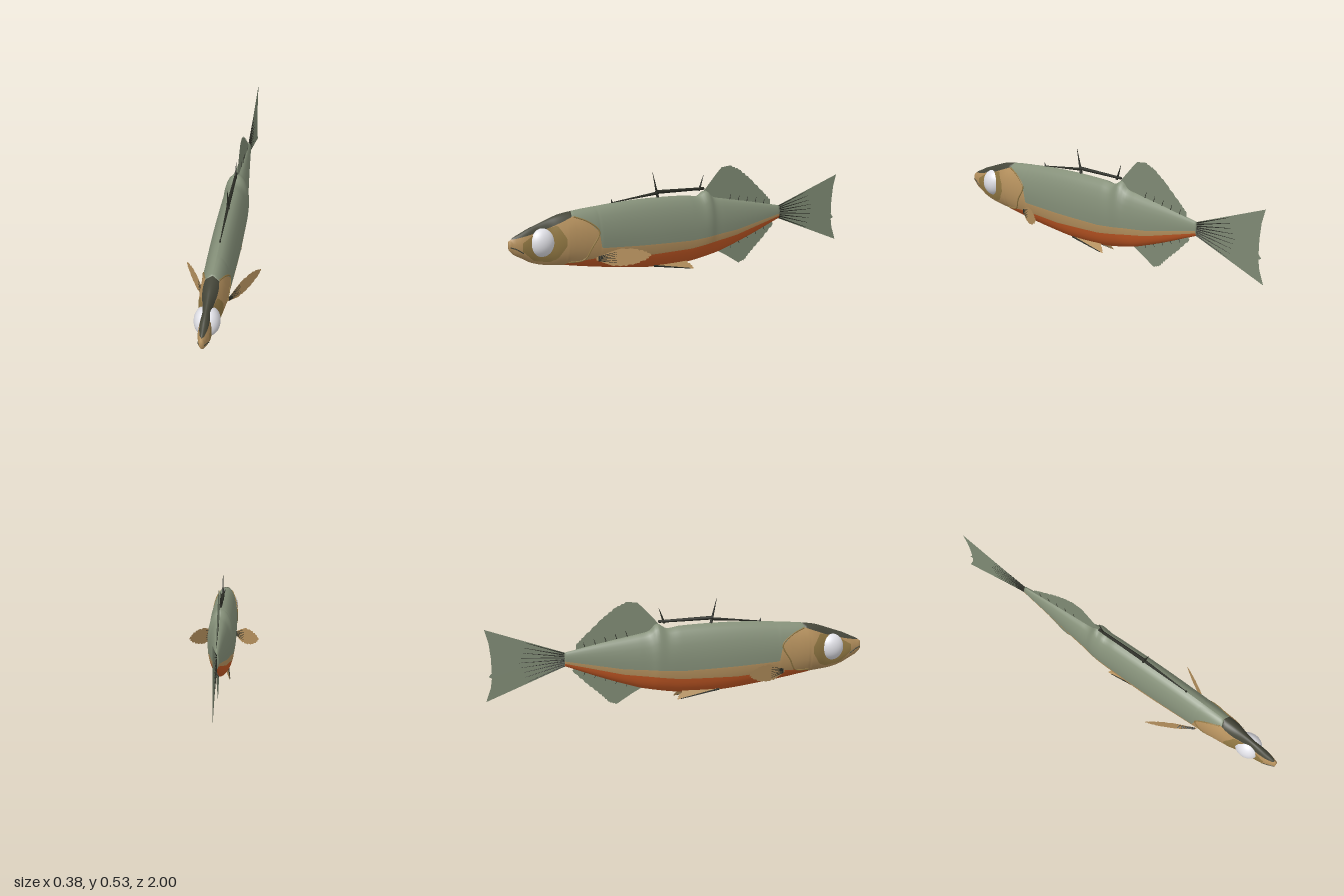
import * as THREE from 'three';

const mat = (name, color, side = THREE.FrontSide) => {
  const m = new THREE.MeshStandardMaterial({ color, side });
  m.name = name;
  return m;
};

// Body stations from nose to tail: z, top y, bottom y, half width
const STATIONS = [
  [1, 0.278, 0.232, 0.011], [0.98, 0.292, 0.21, 0.017], [0.94, 0.31, 0.188, 0.027], [0.9, 0.328, 0.165, 0.029],
  [0.85, 0.345, 0.147, 0.029], [0.8, 0.362, 0.137, 0.037], [0.75, 0.378, 0.131, 0.052], [0.7, 0.387, 0.124, 0.061],
  [0.6, 0.397, 0.106, 0.066], [0.4, 0.41, 0.075, 0.07], [0.2, 0.412, 0.053, 0.072], [0, 0.404, 0.054, 0.07],
  [-0.07, 0.395, 0.062, 0.069], [-0.12, 0.42, 0.07, 0.067], [-0.16, 0.385, 0.077, 0.057], [-0.22, 0.37, 0.09, 0.05],
  [-0.4, 0.335, 0.148, 0.031], [-0.6, 0.292, 0.222, 0.012]];
// Colour borders as z, y
const BELLY_LINE = [[0.73, 0], [0.71, 0.14], [0.55, 0.15], [0.3, 0.13], [0, 0.133], [-0.3, 0.168], [-0.6, 0.236]];
const BACK_LINE = [[0.67, 0.37], [0.6, 0.338], [0.545, 0.285], [0.53, 0.2], [0.3, 0.187], [0, 0.177], [-0.3, 0.197], [-0.6, 0.248]];
const CROWN_LINE = [[1, 0.3], [0.98, 0.286], [0.9, 0.3], [0.8, 0.325], [0.75, 0.343], [0.68, 0.368], [0.65, 0.45]];

// Linear lookup in a table whose first column falls
function lerpTable(t, z) {
  if (z >= t[0][0]) return t[0][1];
  for (let i = 1; i < t.length; i++) {
    if (z >= t[i][0]) return t[i][1] + (t[i - 1][1] - t[i][1]) * (z - t[i][0]) / (t[i - 1][0] - t[i][0]);
  }
  return t[t.length - 1][1];
}

// Smooth body section at z: centre, half height, half width
function section(z) {
  const S = STATIONS, last = S.length - 1;
  let i = 0;
  while (i < last - 1 && z < S[i + 1][0]) i++;
  const a = S[i], b = S[i + 1], p = S[Math.max(i - 1, 0)], q = S[Math.min(i + 2, last)];
  const d = b[0] - a[0], t = (z - a[0]) / d;
  const [top, bottom, w] = [1, 2, 3].map(k => {
    const m0 = (b[k] - p[k]) / (b[0] - p[0]) * d, m1 = (q[k] - a[k]) / (q[0] - a[0]) * d;
    return (2 * t ** 3 - 3 * t * t + 1) * a[k] + (t ** 3 - 2 * t * t + t) * m0 + (3 * t * t - 2 * t ** 3) * b[k] + (t ** 3 - t * t) * m1;
  });
  return { c: (top + bottom) / 2, h: (top - bottom) / 2, w };
}

// Point on the skin, lifted slightly outwards
function skin(z, y, side, lift = 0) {
  const { c, h, w } = section(z);
  const s = THREE.MathUtils.clamp((y - c) / h, -0.999, 0.999);
  return new THREE.Vector3(side * (w * Math.sqrt(1 - s * s) + lift), y, z);
}

// Lofted body, with material groups: belly, flank, back, crown
function bodyGeometry() {
  const rows = 150, per = 7, half = per * 4, ring = half * 2;
  const pos = [], bands = [[], [], [], []];
  for (let i = 0; i <= rows; i++) {
    const z = 1 - 1.6 * i / rows, { c, h, w } = section(z);
    const angle = y => Math.acos(THREE.MathUtils.clamp((c - y) / h, -1, 1));
    const crown = angle(lerpTable(CROWN_LINE, z));
    const back = Math.min(crown, z > 0.67 ? Math.PI : angle(lerpTable(BACK_LINE, z)));
    const marks = [0, Math.min(back, angle(lerpTable(BELLY_LINE, z))), back, crown, Math.PI];
    for (let j = 0; j < ring; j++) {
      const k = j <= half ? j : ring - j, b = Math.min(Math.floor(k / per), 3);
      const a = THREE.MathUtils.lerp(marks[b], marks[b + 1], k / per - b);
      pos.push((j <= half ? 1 : -1) * w * Math.sin(a), c - h * Math.cos(a), z);
    }
  }
  for (let i = 0; i < rows; i++) for (let j = 0; j < ring; j++) {
    const n = (j + 1) % ring, a = i * ring + j, b = i * ring + n;
    const k = j < half ? j : ring - 1 - j;
    bands[Math.floor(k / per)].push(a, a + ring, b, a + ring, b + ring, b);
  }
  // Nose and tail caps
  const nose = pos.length / 3, end = nose + 1;
  pos.push(0, 0.255, 1, 0, 0.257, -0.6);
  for (let j = 0; j < ring; j++) {
    const n = (j + 1) % ring;
    bands[1].push(nose, j, n);
    bands[2].push(end, rows * ring + n, rows * ring + j);
  }
  const g = new THREE.BufferGeometry();
  g.setAttribute('position', new THREE.Float32BufferAttribute(pos, 3));
  g.setIndex(bands.flat());
  let start = 0;
  bands.forEach((b, m) => { g.addGroup(start, b.length, m); start += b.length; });
  g.computeVertexNormals();
  return g;
}

// Thin painted patch between two border lines on one side
function patchGeometry(z0, z1, low, high, side) {
  const g = new THREE.PlaneGeometry(1, 1, 24, 12), p = g.attributes.position;
  for (let i = 0; i < p.count; i++) {
    const z = z0 + (z1 - z0) * (p.getX(i) + 0.5);
    const v = skin(z, THREE.MathUtils.lerp(lerpTable(low, z), lerpTable(high, z), p.getY(i) + 0.5), side, 0.002);
    p.setXYZ(i, v.x, v.y, v.z);
  }
  g.computeVertexNormals();
  return g;
}

// Flat fin from an outline, with toothed edges from point "from" to point "to"
function finShape(pts, from = 0, to = 0, teeth = 3) {
  const out = [];
  pts.forEach((p, i) => {
    out.push(new THREE.Vector2(...p));
    if (i < from || i >= to) return;
    const q = pts[i + 1], dx = q[0] - p[0], dy = q[1] - p[1], len = Math.hypot(dx, dy);
    for (let k = 1; k < teeth * 2; k++) {
      const t = k / (teeth * 2), s = k % 2 ? 0.004 : -0.001;
      out.push(new THREE.Vector2(p[0] + dx * t + dy / len * s, p[1] + dy * t - dx / len * s));
    }
  });
  return new THREE.ShapeGeometry(new THREE.Shape(out));
}

export function createModel() {
  const fish = new THREE.Group();
  const D = THREE.DoubleSide;
  const green = mat('olive green', 0x859079), tan = mat('tan', 0xb8935f), orange = mat('orange belly', 0xc65a25);
  const dark = mat('dark olive', 0x46473a), ochre = mat('ochre', 0x957b45), white = mat('eye white', 0xe2e2e8);
  const black = mat('ray black', 0x2a2c24);
  const finGreen = mat('fin green', 0x7f8a74, D), finTan = mat('fin tan', 0xb8935f, D);
  const add = (name, geo, material) => {
    const m = new THREE.Mesh(geo, material);
    m.name = name;
    fish.add(m);
    return m;
  };
  // Tapered spike between two points
  const spike = (name, a, b, r, tip = 0.0008) => {
    const A = new THREE.Vector3(...a), d = new THREE.Vector3(...b).sub(A);
    const m = add(name, new THREE.CylinderGeometry(tip, r, d.length(), 6), black);
    m.position.copy(A).addScaledVector(d, 0.5);
    m.quaternion.setFromUnitVectors(new THREE.Vector3(0, 1, 0), d.normalize());
  };

  add('body', bodyGeometry(), [orange, tan, green, dark]);

  // Upright fins, outlined as [-z, y]
  const upright = (name, geo) => add(name, geo.rotateY(Math.PI / 2), finGreen);
  upright('dorsalFin', finShape([[0.54, 0.295], [0.54, 0.325], [0.5, 0.365], [0.4, 0.458], [0.33, 0.512], [0.27, 0.538],
    [0.22, 0.533], [0.19, 0.505], [0.11, 0.42], [0.15, 0.375], [0.22, 0.36]], 1, 5)).position.x = 0.004;
  upright('analFin', finShape([[0.2, 0.085], [0.25, 0.058], [0.33, 0.008], [0.37, 0.02], [0.41, 0.06], [0.48, 0.12],
    [0.56, 0.195], [0.54, 0.22], [0.3, 0.13]], 2, 6)).position.x = 0.004;
  upright('tailFin', finShape([[0.58, 0.225], [0.61, 0.215], [1, 0.058], [0.975, 0.13], [0.968, 0.178], [0.984, 0.186],
    [0.968, 0.205], [0.97, 0.28], [0.98, 0.36], [1, 0.428], [0.61, 0.296], [0.58, 0.285]]));
  for (let i = 0; i < 9; i++) {
    const t = i / 8 - 0.5;
    spike('tailRay', [0, 0.256 + t * 0.06, -0.595], [0, 0.25 + t * 0.2, -0.83 + Math.abs(t) * 0.08], 0.0035);
  }
  for (let i = 0; i < 5; i++) {
    const z = -0.27 - i * 0.055;
    spike('dorsalRay', [0.004, 0.35 + i * -0.012, z], [0.004, 0.388 - i * 0.012, z - 0.012], 0.003);
    spike('analRay', [0.004, 0.122 + i * 0.018, z], [0.004, 0.095 + i * 0.018, z - 0.012], 0.003);
  }

  // Back spines and the low rail joining them
  spike('frontSpine', [0, 0.41, 0.17], [0, 0.54, 0.2], 0.008);
  spike('rearSpine', [0, 0.42, -0.08], [0, 0.5, -0.108], 0.007);
  spike('spineStub', [0, 0.405, 0.435], [0, 0.428, 0.442], 0.006);
  spike('spineRail', [0, 0.438, 0.18], [0, 0.43, -0.11], 0.01, 0.007);
  spike('spineRailFront', [0, 0.432, 0.18], [0, 0.41, 0.43], 0.008, 0.002);

  for (const s of [1, -1]) {
    const at = (z, y, lift) => skin(z, y, s, lift);
    // Head markings
    add('cheekPatch', patchGeometry(s > 0 ? 0.94 : 0.72, s > 0 ? 0.72 : 0.94,
      [[0.94, 0.225], [0.88, 0.17], [0.8, 0.155], [0.76, 0.17], [0.72, 0.23]],
      [[0.94, 0.265], [0.88, 0.3], [0.8, 0.325], [0.76, 0.335], [0.72, 0.27]], s), ochre);
    const line = (name, pts, r, m) => add(name, new THREE.TubeGeometry(
      new THREE.CatmullRomCurve3(pts.map(([z, y]) => at(z, y, 0))), 40, r, 6), m);
    line('gillEdge', [[0.67, 0.368], [0.6, 0.338], [0.545, 0.285], [0.585, 0.21], [0.62, 0.15], [0.7, 0.142]], 0.004, ochre);
    line('mouthLine', [[0.998, 0.248], [0.97, 0.238], [0.935, 0.215]], 0.003, dark);

    // Eye
    const eye = add('eye', new THREE.SphereGeometry(1, 32, 24), white);
    eye.scale.set(0.052, 0.072, 0.067);
    eye.position.set(s * 0.011, 0.255, 0.833);

    // Pectoral fin, swept out and back
    const fin = finShape([[0.055, 0.14], [0.09, 0.115], [0.12, 0.112], [0.15, 0.122], [0.178, 0.146], [0.188, 0.166],
      [0.172, 0.183], [0.148, 0.196], [0.11, 0.196], [0.09, 0.183], [0.055, 0.155]], 1, 8, 2);
    const p = fin.attributes.position;
    const sweep = x => 0.55 - (x - 0.06) * 1.75;
    for (let i = 0; i < p.count; i++) p.setXYZ(i, s * p.getX(i), p.getY(i), sweep(p.getX(i)));
    fin.computeVertexNormals();
    add('pectoralFin', fin, finTan);
    for (let i = 0; i < 6; i++) {
      const t = i / 5 - 0.5;
      spike('pectoralRay', [s * 0.06, 0.148 + t * 0.02, 0.55], [s * 0.105, 0.154 + t * 0.055, sweep(0.105)], 0.0025);
    }

    // Pelvic fin, splayed below the belly
    const pelvic = finShape([[-0.22, 0.06], [-0.1, 0.042], [0.02, 0.022], [0.01, 0.04], [-0.02, 0.066], [-0.1, 0.085]], 2, 4, 2);
    pelvic.rotateY(Math.PI / 2);
    const q = pelvic.attributes.position;
    for (let i = 0; i < q.count; i++) q.setX(i, s * (0.022 + (0.066 - q.getY(i)) * 0.52));
    pelvic.computeVertexNormals();
    add('pelvicFin', pelvic, finTan);
    spike('pelvicSpine', [s * 0.026, 0.062, 0.21], [s * 0.044, 0.026, 0], 0.005, 0.002);
  }
  return fish;
}
